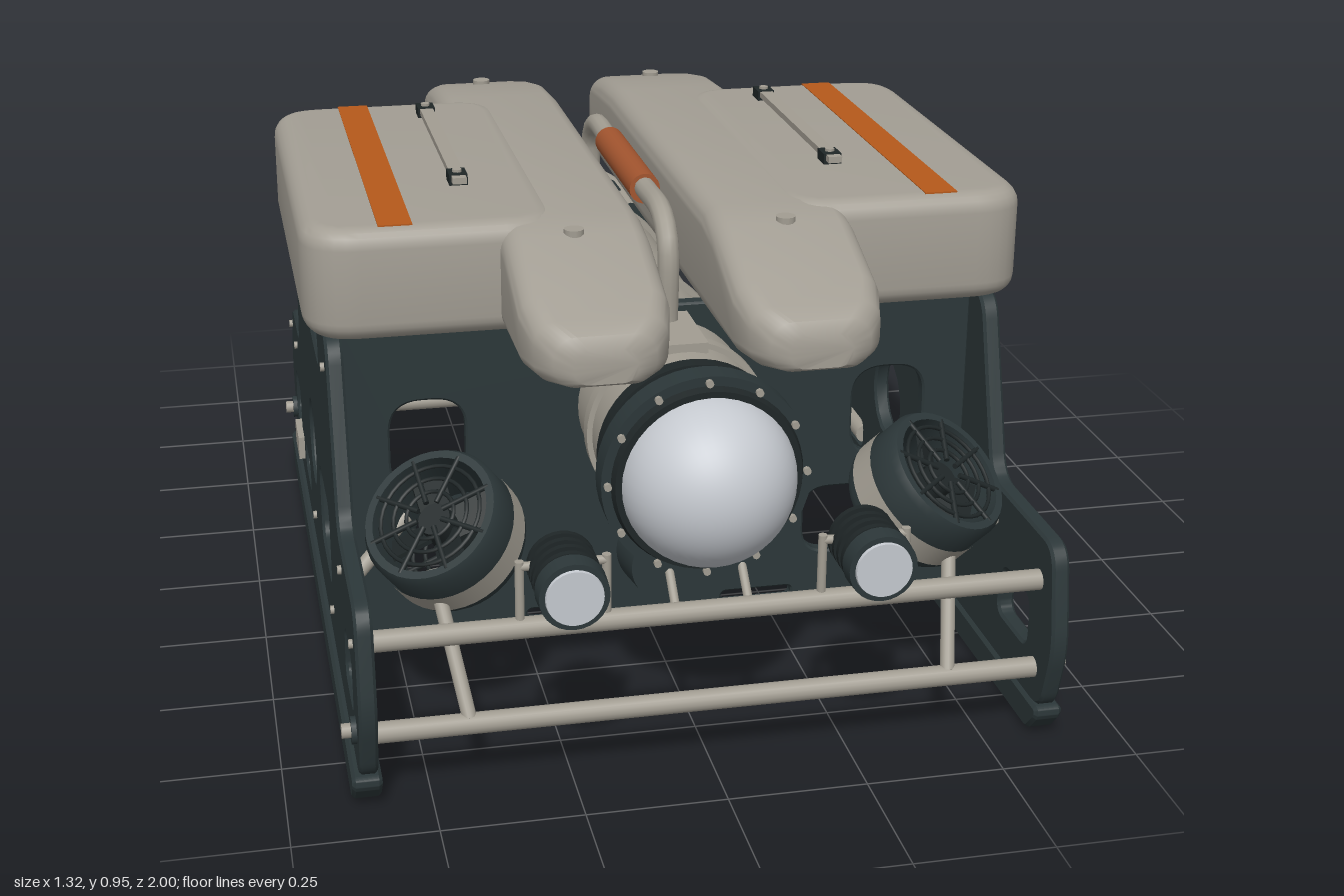
import * as THREE from 'three';
import { toCreasedNormals } from 'three/addons/utils/BufferGeometryUtils.js';

const paint = (name, color, extra = {}) => Object.assign(new THREE.MeshStandardMaterial({ color, ...extra }), { name });
const V = (x, y, z) => new THREE.Vector3(x, y, z);

export function createModel() {
  const foam = paint('foamGrey', 0xa39e94, { side: THREE.DoubleSide });
  const metal = paint('paleMetal', 0xa29d92);
  const frame = paint('frameSlate', 0x2c3739);
  const dark = paint('darkRubber', 0x1f2627);
  const orange = paint('stripeOrange', 0xb5591b);
  const boot = paint('gripOrange', 0xa3552f);
  const glass = paint('paleGlass', 0xc5c9cf);

  const model = new THREE.Group();
  const add = (name, geo, mat, parent = model) => {
    const m = new THREE.Mesh(geo, mat);
    m.name = name;
    parent.add(m);
    return m;
  };
  const both = fn => [1, -1].forEach(fn);
  const box = (name, w, h, d, x, y, z, mat) => add(name, new THREE.BoxGeometry(w, h, d).translate(x, y, z), mat);

  // cylinder lying along z, from z0 to z1
  const cylZ = (name, r0, r1, z0, z1, x, y, mat, seg = 40) =>
    add(name, new THREE.CylinderGeometry(r1, r0, z1 - z0, seg).rotateX(Math.PI / 2).translate(x, y, (z0 + z1) / 2), mat);
  const rod = (name, a, b, r, mat, parent = model) => {
    const m = add(name, new THREE.CylinderGeometry(r, r, a.distanceTo(b), 16), mat, parent);
    m.position.copy(a).lerp(b, 0.5);
    m.quaternion.setFromUnitVectors(V(0, 1, 0), b.clone().sub(a).normalize());
    return m;
  };
  const tube = (name, pts, r, mat) =>
    add(name, new THREE.TubeGeometry(new THREE.CatmullRomCurve3(pts, false, 'centripetal'), 40, r, 12), mat);

  // polygon with rounded corners, as a shape or a hole
  const roundPoly = (pts, r, Kind = THREE.Shape) => {
    const path = new Kind(), P = pts.map(p => new THREE.Vector2(...p));
    P.forEach((p, i) => {
      const prev = P[(i + P.length - 1) % P.length], next = P[(i + 1) % P.length];
      const toward = q => p.clone().add(q.clone().sub(p).setLength(Math.min(r, p.distanceTo(q) / 2)));
      const a = toward(prev), b = toward(next);
      i ? path.lineTo(a.x, a.y) : path.moveTo(a.x, a.y);
      path.quadraticCurveTo(p.x, p.y, b.x, b.y);
    });
    path.closePath();
    return path;
  };
  const rect = (x0, x1, y0, y1, r, Kind) => roundPoly([[x0, y0], [x1, y0], [x1, y1], [x0, y1]], r, Kind);
  const disc = (x, y, r) => new THREE.Path().absarc(x, y, r, 0, Math.PI * 2);
  const extrude = (shape, depth, bevel, segs = 1) => toCreasedNormals(new THREE.ExtrudeGeometry(shape, {
    depth: depth - 2 * bevel, bevelThickness: bevel, bevelSize: bevel, bevelOffset: -bevel, bevelSegments: segs, curveSegments: 8,
  }).translate(0, 0, bevel), 0.6);

  // body lofted along z from rounded sections [z, halfWidth, bottom, top]
  const loft = (sections, radius) => {
    const pos = [], idx = [], n = 32;
    sections.forEach(([z, hw, y0, y1]) => {
      const hh = (y1 - y0) / 2, r = Math.min(radius, hw * 0.9, hh * 0.9);
      for (let i = 0; i < n; i++) {
        const q = Math.floor(i / 8), a = (q + (i % 8) / 7) * Math.PI / 2;
        const sx = q === 0 || q === 3 ? 1 : -1, sy = q < 2 ? 1 : -1;
        pos.push(sx * (hw - r) + r * Math.cos(a), y0 + hh + sy * (hh - r) + r * Math.sin(a), z);
      }
    });
    for (let s = 0; s < sections.length - 1; s++) for (let i = 0; i < n; i++) {
      const a = s * n + i, b = s * n + (i + 1) % n;
      idx.push(a, a + n, b, b, a + n, b + n);
    }
    const last = (sections.length - 1) * n;
    for (let i = 1; i < n - 1; i++) idx.push(0, i, i + 1, last, last + i + 1, last + i);
    const g = new THREE.BufferGeometry();
    g.setAttribute('position', new THREE.Float32BufferAttribute(pos, 3));
    g.setIndex(idx);
    return toCreasedNormals(g, 0.7);
  };

  // buoyancy floats: long inner strip and wide outer wing, with stripe and rail
  const strip = loft([
    [0.86, 0.055, 0.73, 0.79], [0.848, 0.088, 0.723, 0.812], [0.81, 0.115, 0.72, 0.828], [0.75, 0.13, 0.72, 0.852],
    [0.6, 0.131, 0.72, 0.907], [0.52, 0.131, 0.72, 0.922], [-0.32, 0.131, 0.72, 0.922], [-0.45, 0.131, 0.72, 0.912],
    [-0.56, 0.129, 0.72, 0.89], [-0.64, 0.113, 0.72, 0.872], [-0.685, 0.08, 0.722, 0.85], [-0.7, 0.05, 0.73, 0.825]], 0.04);
  const wing = extrude(rect(-0.23, 0.23, -0.435, 0.435, 0.1), 0.205, 0.035, 5).rotateX(-Math.PI / 2);
  both(s => {
    add('floatStrip', strip, foam).position.x = s * 0.185;
    add('floatWing', wing, foam).position.set(s * 0.43, 0.72, 0.132);
    box('floatStripe', 0.06, 0.008, 0.82, s * 0.495, 0.9225, 0.13, orange);
    box('railBar', 0.026, 0.012, 0.54, s * 0.355, 0.938, 0.07, metal);
    [-0.185, 0.3].forEach(z => {
      box('railFoot', 0.034, 0.02, 0.045, s * 0.355, 0.935, z, dark);
      add('railBolt', new THREE.CylinderGeometry(0.009, 0.009, 0.006, 10).translate(s * 0.355, 0.947, z), metal);
    });
    [[0.59, 0.91], [-0.54, 0.898]].forEach(([z, y]) =>
      add('floatBolt', new THREE.CylinderGeometry(0.018, 0.018, 0.012, 12).translate(s * 0.19, y, z), metal));
  });

  // side panels, skids and bolts
  const side = roundPoly([[0.92, 0.06], [0.96, 0.2], [0.93, 0.39], [0.62, 0.39], [0.52, 0.715], [-0.27, 0.715],
    [-0.36, 0.39], [-0.59, 0.39], [-0.685, 0.24], [-0.64, 0.06]], 0.045);
  side.holes.push(rect(-0.03, 0.3, 0.585, 0.645, 0.025, THREE.Path), rect(0.18, 0.41, 0.18, 0.335, 0.04, THREE.Path),
    disc(0, 0.305, 0.085), rect(-0.3, -0.155, 0.125, 0.18, 0.02, THREE.Path),
    roundPoly([[0.69, 0.15], [0.84, 0.15], [0.84, 0.25], [0.71, 0.25]], 0.03, THREE.Path),
    roundPoly([[-0.57, 0.15], [-0.41, 0.15], [-0.41, 0.25], [-0.55, 0.25]], 0.03, THREE.Path));
  const sideGeo = extrude(side, 0.032, 0.005).rotateY(-Math.PI / 2).translate(0.016, 0, 0);
  const skidGeo = extrude(roundPoly([[0.88, 0.003], [0.92, 0.045], [0.92, 0.065], [-0.64, 0.065], [-0.64, 0.045], [-0.6, 0.003]], 0.012),
    0.052, 0.006).rotateY(-Math.PI / 2).translate(0.026, 0, 0);
  const bolts = [[0.89, 0.31], [0.69, 0.35], [0.48, 0.65], [-0.26, 0.65], [0.43, 0.14], [0, 0.14], [-0.44, 0.35], [-0.61, 0.34]];
  both(s => {
    add('sidePanel', sideGeo, frame).position.x = s * 0.609;
    add('skid', skidGeo, frame).position.x = s * 0.612;
    [0.74, 0.14, -0.54].forEach(z => add('skidBolt', new THREE.CylinderGeometry(0.01, 0.01, 0.012, 10).translate(s * 0.612, 0.006, z), dark));
    bolts.forEach(([z, y]) => rod('panelBolt', V(s * 0.62, y, z), V(s * 0.632, y, z), 0.008, metal));
    [[0.14, 0.88], [0.14, -0.6]].forEach(([y, z]) => {
      rod('rodWasher', V(s * 0.62, y, z), V(s * 0.634, y, z), 0.024, frame);
      rod('rodNut', V(s * 0.63, y, z), V(s * 0.65, y, z), 0.013, metal);
    });
    box('anodePlate', 0.016, 0.05, 0.11, s * 0.63, 0.145, -0.395, metal);
    rod('anodeRod', V(s * 0.6, 0.152, -0.16), V(s * 0.6, 0.152, -0.295), 0.02, metal);
  });

  // transverse bulkhead with openings, ahead of the pod
  const wall = rect(-0.595, 0.595, 0.06, 0.715, 0.02);
  both(s => {
    const span = (a, b) => [Math.min(s * a, s * b), Math.max(s * a, s * b)];
    wall.holes.push(rect(...span(0.37, 0.51), 0.38, 0.56, 0.06, THREE.Path),
      rect(...span(0.28, 0.5), 0.185, 0.32, 0.05, THREE.Path), rect(...span(0.12, 0.26), 0.09, 0.115, 0.012, THREE.Path));
  });
  add('bulkhead', extrude(wall, 0.03, 0.004).translate(0, 0, 0.425), frame);

  // cross rods
  [[0.13, 0.88], [0.305, 0.88], [0.13, -0.6]].forEach(([y, z]) => rod('crossRod', V(-0.595, y, z), V(0.595, y, z), 0.019, metal));

  // main hull with flanges, clamps and dome
  const hy = 0.525;
  cylZ('hull', 0.16, 0.16, -0.38, 0.78, 0, hy, metal, 48);
  cylZ('frontFlange', 0.187, 0.187, 0.765, 0.815, 0, hy, frame, 48);
  cylZ('flangeLip', 0.17, 0.165, 0.815, 0.83, 0, hy, dark, 48);
  cylZ('rearFlange', 0.185, 0.185, -0.43, -0.36, 0, hy, frame, 48);
  cylZ('rearCap', 0.13, 0.15, -0.46, -0.43, 0, hy, dark, 48);
  add('dome', new THREE.SphereGeometry(0.155, 40, 20, 0, Math.PI * 2, 0, Math.PI / 2).rotateX(Math.PI / 2).translate(0, hy, 0.812), glass);
  [0.7, 0.58, 0.2, -0.25].forEach(z => cylZ('hullClamp', 0.17, 0.17, z - 0.015, z + 0.015, 0, hy, z === 0.7 ? dark : metal, 48));
  box('hullSpine', 0.09, 0.02, 0.85, 0, 0.69, 0.2, metal);
  for (let i = 0; i < 12; i++) {
    const a = i / 12 * Math.PI * 2, x = Math.cos(a) * 0.176, y = hy + Math.sin(a) * 0.176;
    cylZ('flangeBolt', 0.007, 0.007, 0.81, 0.824, x, y, metal, 8);
    cylZ('flangeBolt', 0.008, 0.008, -0.44, -0.425, x * 0.94, hy + (y - hy) * 0.94, metal, 8);
  }
  for (let i = 0; i < 6; i++) {
    const a = i / 6 * Math.PI * 2;
    cylZ('plug', 0.02, 0.026, -0.51, -0.45, Math.cos(a) * 0.085, hy + Math.sin(a) * 0.085, dark, 12);
  }

  // lower pod, hung from the hull, with a dark nose ahead of the bulkhead
  cylZ('lowerPod', 0.07, 0.07, -0.14, 0.385, 0, 0.25, metal);
  cylZ('podRearCap', 0.075, 0.085, -0.21, -0.12, 0, 0.25, frame);
  box('podHanger', 0.16, 0.2, 0.07, 0, 0.29, 0.045, frame);
  cylZ('podNose', 0.088, 0.075, 0.45, 0.54, 0, 0.225, frame);

  // carrying handle
  tube('handle', [V(0, 0.69, 0.49), V(0, 0.84, 0.49), V(0, 0.885, 0.44), V(0, 0.89, 0.3), V(0, 0.89, -0.05),
    V(0, 0.885, -0.2), V(0, 0.84, -0.25), V(0, 0.69, -0.25)], 0.02, metal);
  cylZ('handleGrip', 0.029, 0.029, -0.05, 0.29, 0, 0.888, boot, 24);

  // front lamps with cooling ribs
  both(s => {
    const x = s * 0.265, y = 0.41;
    cylZ('lampBody', 0.045, 0.05, 0.84, 0.98, x, y, dark, 28);
    for (let i = 0; i < 4; i++) cylZ('lampRib', 0.06, 0.06, 0.858 + i * 0.026, 0.87 + i * 0.026, x, y, dark, 28);
    cylZ('lampRim', 0.062, 0.06, 0.955, 0.99, x, y, frame, 28);
    cylZ('lampLens', 0.051, 0.049, 0.985, 0.996, x, y, glass, 28);
    [0.19, 0.34].forEach(p => rod('lampPost', V(s * p, 0.3, 0.88), V(s * p, 0.43, 0.88), 0.008, metal));
    rod('lampArm', V(s * 0.19, 0.42, 0.88), V(s * 0.34, 0.42, 0.88), 0.008, metal);
    rod('frontStay', V(s * 0.065, 0.3, 0.87), V(s * 0.065, 0.37, 0.79), 0.008, metal);
  });

  // vectored thrusters: duct, pale band, grilles, hub and blades
  const duct = new THREE.LatheGeometry([[0.108, -0.07], [0.122, -0.07], [0.13, -0.055], [0.13, 0.055], [0.122, 0.07],
    [0.108, 0.07], [0.104, 0], [0.108, -0.07]].map(p => new THREE.Vector2(...p)), 40);
  const band = new THREE.CylinderGeometry(0.133, 0.133, 0.05, 40, 1, true);
  const thruster = (name, at, dir) => {
    const g = new THREE.Group();
    g.name = name;
    g.position.copy(at);
    g.quaternion.setFromUnitVectors(V(0, 1, 0), dir.normalize());
    add('duct', toCreasedNormals(duct, 0.6), frame, g);
    add('ductBand', band, metal, g).position.y = -0.018;
    add('hub', new THREE.CylinderGeometry(0.03, 0.038, 0.16, 20).translate(0, -0.03, 0), dark, g);
    add('hubTail', new THREE.SphereGeometry(0.038, 20, 12).translate(0, -0.11, 0), dark, g);
    both(e => {
      [0.045, 0.07, 0.094].forEach(r =>
        add('grilleRing', new THREE.TorusGeometry(r, 0.004, 6, 32).rotateX(Math.PI / 2).translate(0, e * 0.066, 0), dark, g));
      for (let i = 0; i < 8; i++) {
        const a = i / 8 * Math.PI * 2, c = Math.cos(a), n = Math.sin(a);
        rod('grilleSpoke', V(c * 0.025, e * 0.066, n * 0.025), V(c * 0.115, e * 0.066, n * 0.115), 0.005, dark, g);
      }
    });
    for (let i = 0; i < 4; i++)
      add('blade', new THREE.BoxGeometry(0.075, 0.008, 0.06).rotateX(0.5).translate(0.06, 0.015, 0).rotateY(i * Math.PI / 2), dark, g);
    model.add(g);
  };
  both(s => {
    thruster('frontThruster', V(s * 0.44, 0.408, 0.69), V(s * 0.46, 0.73, 0.5));
    thruster('rearThruster', V(s * 0.385, 0.53, -0.43), V(s * 0.48, -0.66, -0.55));
    rod('frontStrut', V(s * 0.47, 0.36, 0.74), V(s * 0.43, 0.14, 0.88), 0.013, metal);
    rod('frontBrace', V(s * 0.5, 0.4, 0.6), V(s * 0.6, 0.32, 0.66), 0.014, metal);
    rod('rearStrut', V(s * 0.34, 0.47, -0.5), V(s * 0.44, 0.14, -0.6), 0.015, metal);
    rod('rearBrace', V(s * 0.46, 0.5, -0.36), V(s * 0.6, 0.35, -0.44), 0.014, metal);
    tube('thrusterCable', [V(s * 0.08, 0.55, -0.48), V(s * 0.14, 0.62, -0.56), V(s * 0.24, 0.64, -0.48), V(s * 0.33, 0.61, -0.38)], 0.011, dark);
    tube('tetherStay', [V(s * 0.09, 0.67, -0.27), V(s * 0.085, 0.672, -0.48), V(s * 0.06, 0.66, -0.57), V(s * 0.035, 0.61, -0.66)], 0.016, metal);
  });

  // tether with ribbed strain relief
  box('tetherBlock', 0.1, 0.055, 0.06, 0, 0.595, -0.665, dark);
  tube('tetherLead', [V(0, 0.53, -0.45), V(0.025, 0.57, -0.52), V(-0.02, 0.6, -0.58), V(0, 0.595, -0.65)], 0.016, dark);
  cylZ('tetherBoot', 0.016, 0.024, -0.845, -0.69, 0, 0.59, boot, 20);
  for (let i = 0; i < 7; i++) {
    const r = 0.033 - i * 0.0018, z = -0.705 - i * 0.021;
    cylZ('bootRib', r, r, z - 0.006, z + 0.006, 0, 0.59, boot, 20);
  }
  tube('tether', [V(0, 0.589, -0.866), V(0, 0.587, -0.89), V(0, 0.578, -0.94), V(0, 0.562, -1)], 0.014, dark);
  return model;
}
